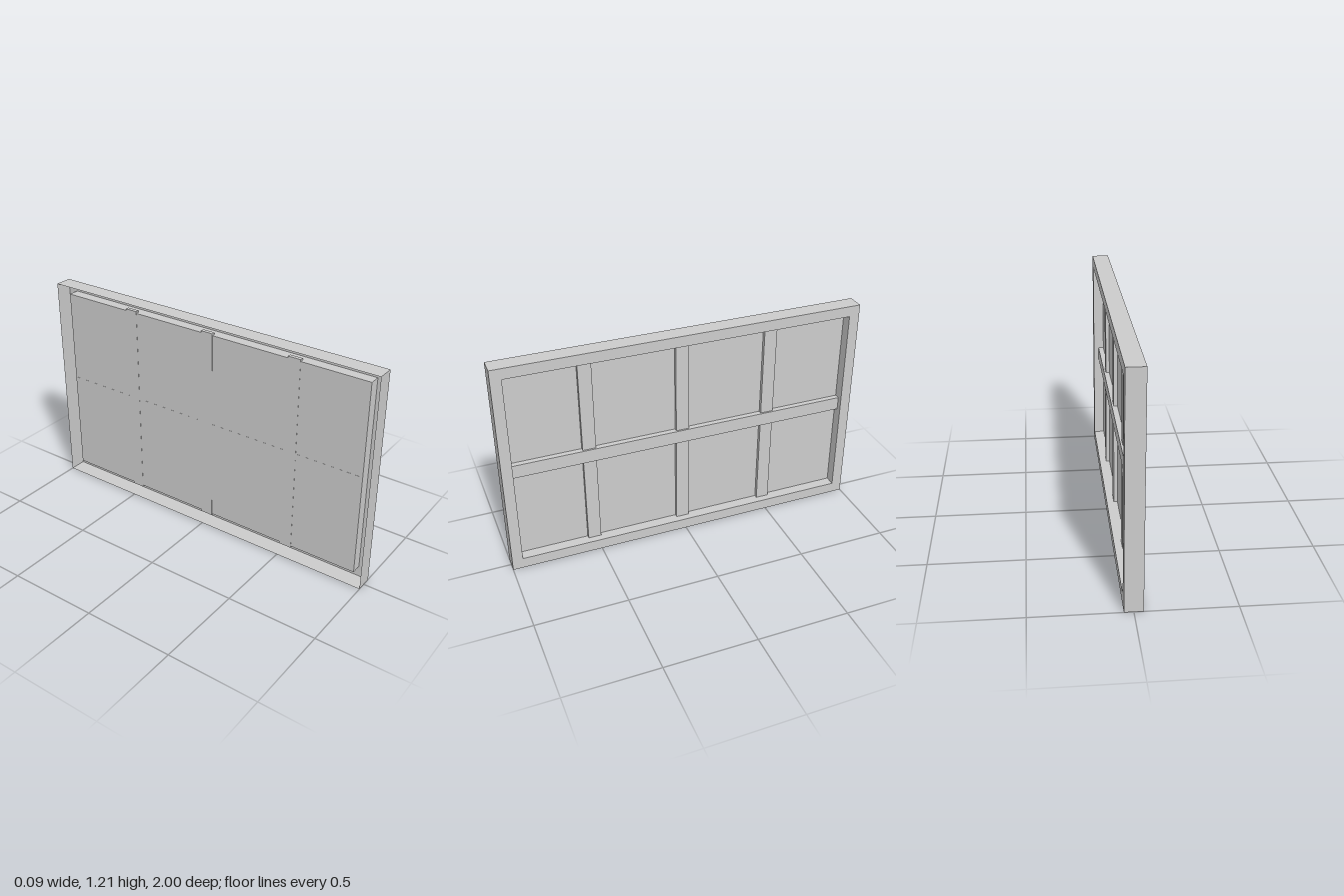
import * as THREE from 'three';

const material = new THREE.MeshStandardMaterial({ color: 0xcccccc, flatShading: true, side: THREE.DoubleSide });

const HALF = 0.047;      // half the wall thickness
const PANEL_X = -0.012;  // depth of the recessed sheet
const OPEN = { z: 0.942, bottom: 0.06, top: 1.155 };

// Rectangle in the z-y plane, counter-clockwise seen from +x
function loop(x, z, bottom, top) {
  return [[x, bottom, z], [x, bottom, -z], [x, top, -z], [x, top, z]];
}

// Skin between successive rectangles, left open at both ends
function loftLoops(loops) {
  const positions = [];
  for (let i = 0; i < loops.length - 1; i++) {
    const a = loops[i], b = loops[i + 1];
    for (let j = 0; j < 4; j++) {
      const k = (j + 1) % 4;
      positions.push(...a[j], ...a[k], ...b[k], ...a[j], ...b[k], ...b[j]);
    }
  }
  const geometry = new THREE.BufferGeometry();
  geometry.setAttribute('position', new THREE.Float32BufferAttribute(positions, 3));
  geometry.computeVertexNormals();
  return geometry;
}

function addMesh(group, name, geometry) {
  const mesh = new THREE.Mesh(geometry, material);
  mesh.name = name;
  group.add(mesh);
  return mesh;
}

// Box given by its limits on each axis
function addBar(group, name, x0, x1, y0, y1, z0, z1) {
  const bar = addMesh(group, name, new THREE.BoxGeometry(x1 - x0, y1 - y0, z1 - z0));
  bar.position.set((x0 + x1) / 2, (y0 + y1) / 2, (z0 + z1) / 2);
}

export function createModel() {
  const group = new THREE.Group();
  group.name = 'framedPanel';

  // Hollow frame: outer walls, front rim, inner walls, open at the back
  addMesh(group, 'frame', loftLoops([
    loop(-HALF, 1, 0, 1.214),
    loop(HALF, 1, 0, 1.214),
    loop(HALF, OPEN.z, OPEN.bottom, OPEN.top),
    loop(PANEL_X, OPEN.z, OPEN.bottom, OPEN.top),
  ]));

  // Recessed sheet
  const sheet = new THREE.PlaneGeometry(2 * OPEN.z, OPEN.top - OPEN.bottom).rotateY(Math.PI / 2);
  addMesh(group, 'panel', sheet).position.set(PANEL_X, (OPEN.top + OPEN.bottom) / 2, 0);

  // Vertical battens, ends tucked into the frame
  for (const z of [0.527, 0.006, -0.495]) {
    addBar(group, 'batten', PANEL_X - 0.001, 0.008, OPEN.bottom - 0.01, OPEN.top + 0.01, z - 0.036, z + 0.036);
  }

  // Horizontal rail in front of the battens
  addBar(group, 'rail', PANEL_X - 0.0005, 0.018, 0.564, 0.638, -OPEN.z, OPEN.z);

  return group;
}
